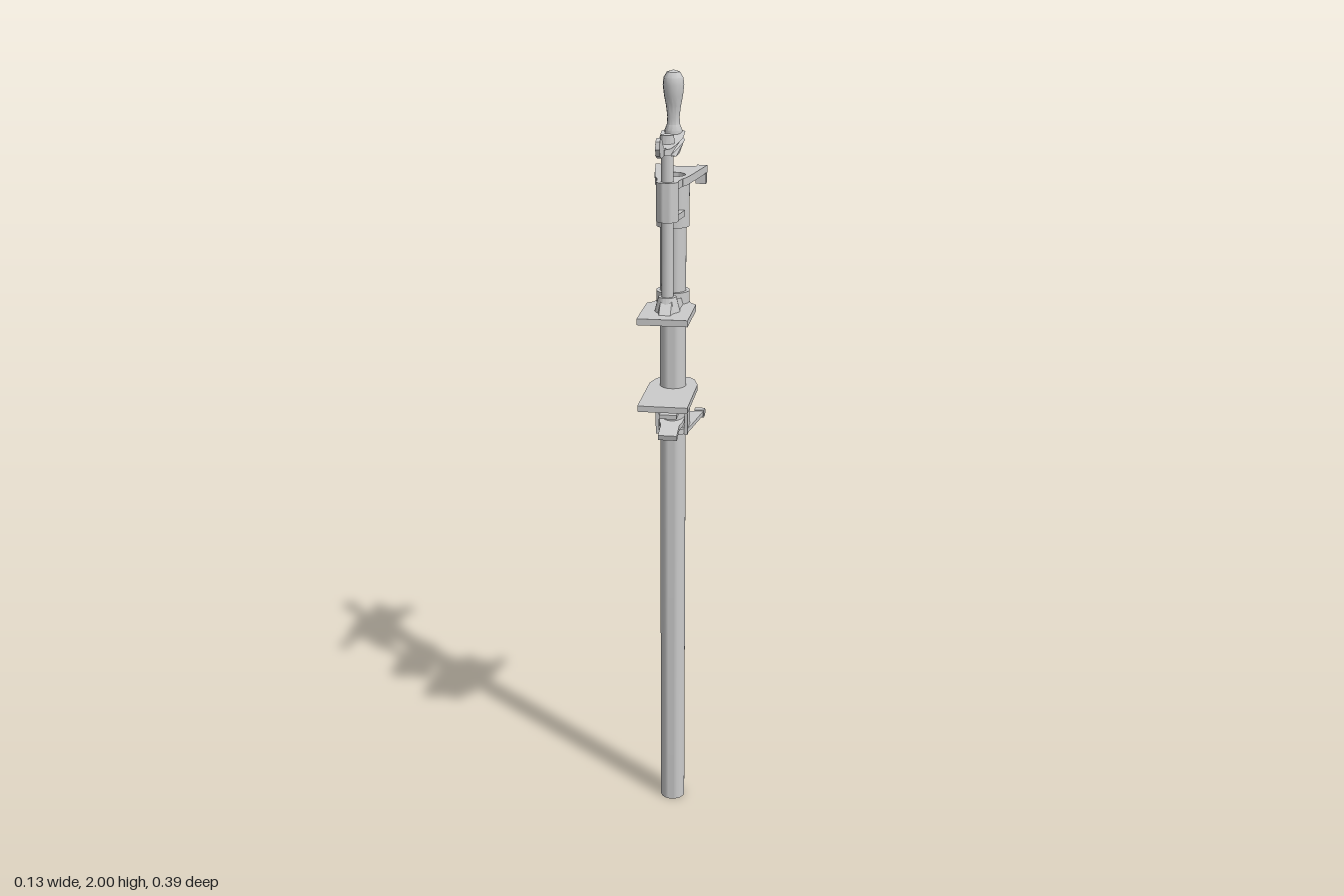
import * as THREE from 'three';
import { toCreasedNormals } from 'three/addons/utils/BufferGeometryUtils.js';

const PIPE_Z = -0.05, SCREW_Z = 0.045, PIPE_R = 0.033;
const mat = new THREE.MeshStandardMaterial({ color: 0xcccccc, side: THREE.DoubleSide });

function add(group, name, geo) {
  const mesh = new THREE.Mesh(toCreasedNormals(geo, 0.6), mat);
  mesh.name = name;
  group.add(mesh);
  return mesh;
}

// Right half outline [x, z] from back to front, mirrored in x and extruded upward.
// Holes are [z, radius] pairs on the centre line.
function slab(half, y0, y1, holes = []) {
  const left = half.filter(p => p[0] > 0).map(([x, z]) => [-x, z]).reverse();
  const shape = new THREE.Shape([...half, ...left].map(([x, z]) => new THREE.Vector2(x, -z)));
  for (const [z, r] of holes) {
    shape.holes.push(new THREE.Path().absarc(0, -z, r, 0, Math.PI * 2, true));
  }
  return new THREE.ExtrudeGeometry(shape, { depth: y1 - y0, bevelEnabled: false, curveSegments: 16 })
    .rotateX(-Math.PI / 2).translate(0, y0, 0);
}

// Side outline [z, y] extruded in x; each corner takes its own half width [z, y, w].
function sideBody(points) {
  const shape = new THREE.Shape(points.map(([z, y]) => new THREE.Vector2(z, y)));
  const geo = new THREE.ExtrudeGeometry(shape, { depth: 2, bevelEnabled: false })
    .translate(0, 0, -1).rotateY(-Math.PI / 2);
  const pos = geo.attributes.position;
  for (let i = 0; i < pos.count; i++) {
    const hit = points.find(([z, y]) => Math.hypot(z - pos.getZ(i), y - pos.getY(i)) < 1e-4);
    pos.setX(i, pos.getX(i) * hit[2]);
  }
  return geo;
}

function tube(outer, inner, y0, y1, z) {
  const pts = [[inner, y0], [outer, y0], [outer, y1], [inner, y1], [inner, y0]];
  return new THREE.LatheGeometry(pts.map(p => new THREE.Vector2(...p)), 24).translate(0, 0, z);
}

function rod(r0, r1, y0, y1, z, sides = 20) {
  return new THREE.CylinderGeometry(r1, r0, y1 - y0, sides).translate(0, (y0 + y1) / 2, z);
}

function box(w, h, d, x, y, z) {
  return new THREE.BoxGeometry(w, h, d).translate(x, y, z);
}

// Flared foot outline with a notch between two prongs
const footBack = [[0.04, -0.17], [0.04, -0.193], [0.066, -0.193], [0.045, -0.05]];

function addProngs(group, y0, y1) {
  for (const s of [-1, 1]) add(group, 'footProng', box(0.026, y1 - y0, 0.02, s * 0.052, (y0 + y1) / 2, -0.183));
}

function makeHead() {
  const g = new THREE.Group();
  g.name = 'screwHead';
  add(g, 'topFoot', slab([...footBack, [0.04, -0.02], [0.032, 0.005]], 1.733, 1.752, [[PIPE_Z, 0.03]]));
  addProngs(g, 1.708, 1.735);
  add(g, 'pipeCollar', tube(0.041, PIPE_R, 1.627, 1.74, PIPE_Z));
  add(g, 'screwBarrel', tube(0.027, 0.015, 1.657, 1.752, SCREW_Z));
  // Bridge between collar and barrel: central web with upper and lower flanges
  add(g, 'web', box(0.014, 0.08, 0.04, 0, 1.695, 0.005));
  add(g, 'topFlange', slab([[0.034, -0.015], [0.026, 0.035]], 1.733, 1.752));
  add(g, 'lowerFlange', slab([[0.034, -0.02], [0.026, 0.035]], 1.657, 1.672));
  return g;
}

function makeCrank() {
  const g = new THREE.Group();
  g.name = 'crank';
  // Arm dips at the screw and rises to the grip; the front end is a thin paddle
  add(g, 'crankArm', sideBody([
    [-0.083, 1.842, 0.012], [-0.055, 1.836, 0.029], [-0.025, 1.834, 0.029], [0.02, 1.816, 0.026],
    [0.07, 1.816, 0.025], [0.1, 1.822, 0.016], [0.13, 1.826, 0.006],
    [0.13, 1.84, 0.006], [0.1, 1.838, 0.016], [0.07, 1.842, 0.025], [0.02, 1.842, 0.026],
    [-0.025, 1.846, 0.029], [-0.055, 1.856, 0.029], [-0.083, 1.856, 0.012]]));
  add(g, 'crankPaddle', sideBody([
    [0.1, 1.824, 0.005], [0.13, 1.825, 0.005], [0.165, 1.826, 0.005], [0.186, 1.834, 0.005],
    [0.195, 1.85, 0.005], [0.19, 1.868, 0.005], [0.175, 1.874, 0.005], [0.155, 1.866, 0.005],
    [0.13, 1.844, 0.005], [0.1, 1.84, 0.005]]));
  add(g, 'screwCap', rod(0.018, 0.016, 1.84, 1.862, SCREW_Z, 12));
  // Turned grip
  const grip = [[0, 1.85], [0.022, 1.85], [0.022, 1.858], [0.016, 1.872], [0.015, 1.89], [0.018, 1.915],
    [0.023, 1.94], [0.026, 1.965], [0.024, 1.982], [0.016, 1.995], [0, 2.0]];
  add(g, 'grip', new THREE.LatheGeometry(grip.map(p => new THREE.Vector2(...p)), 12).translate(0, 0, -0.055));
  return g;
}

function makeMovingJaw() {
  const g = new THREE.Group();
  g.name = 'movingJaw';
  add(g, 'jawPlate', slab([[0.036, -0.064], [0.043, -0.05], [0.047, -0.036], [0.062, -0.022], [0.062, 0.13]],
    1.42, 1.436, [[PIPE_Z, 0.012]]));
  add(g, 'jawCollar', tube(0.042, PIPE_R, 1.42, 1.465, PIPE_Z));
  add(g, 'screwSeat', rod(0.032, 0.022, 1.434, 1.472, SCREW_Z));
  // Sloped rib in front of the seat, buttress behind it
  add(g, 'frontRib', sideBody([[0.095, 1.434, 0.014], [0.06, 1.468, 0.014], [0.045, 1.468, 0.018], [0.045, 1.434, 0.026]]));
  add(g, 'backRib', sideBody([[-0.02, 1.434, 0.03], [0.045, 1.434, 0.028], [0.045, 1.468, 0.02], [-0.02, 1.452, 0.026]]));
  return g;
}

function makeFixedJaw() {
  const g = new THREE.Group();
  g.name = 'fixedJaw';
  add(g, 'jawPlate', slab([[0.034, -0.12], [0.05, -0.1], [0.062, -0.06], [0.062, 0.13]], 1.2, 1.215, [[PIPE_Z, PIPE_R]]));
  add(g, 'neckCollar', tube(0.041, PIPE_R, 1.165, 1.2, PIPE_Z));
  for (const s of [-1, 1]) add(g, 'cheek', box(0.008, 0.08, 0.05, s * 0.037, 1.13, PIPE_Z));
  add(g, 'lowerCollar', tube(0.041, PIPE_R, 1.092, 1.106, PIPE_Z));
  add(g, 'bottomFoot', slab([...footBack, [0.04, -0.025]], 1.094, 1.105, [[PIPE_Z, PIPE_R]]));
  addProngs(g, 1.088, 1.108);
  add(g, 'frontLug', box(0.044, 0.011, 0.06, 0, 1.158, 0.01));
  // Tilted clutch plate around the pipe
  const clutch = add(g, 'clutchPlate', slab(
    [[0.022, -0.07], [0.03, -0.035], [0.034, 0], [0.03, 0.035], [0.024, 0.05], [0.024, 0.1]], -0.007, 0.007, [[0, 0.028]]));
  clutch.position.set(0, 1.13, PIPE_Z);
  clutch.rotation.x = 0.26;
  return g;
}

export function createModel() {
  const model = new THREE.Group();
  model.name = 'pipeClamp';
  add(model, 'pipe', tube(PIPE_R, 0.026, 0, 1.738, PIPE_Z));
  add(model, 'screw', rod(0.015, 0.015, 1.46, 1.85, SCREW_Z));
  model.add(makeHead(), makeCrank(), makeMovingJaw(), makeFixedJaw());
  return model;
}
